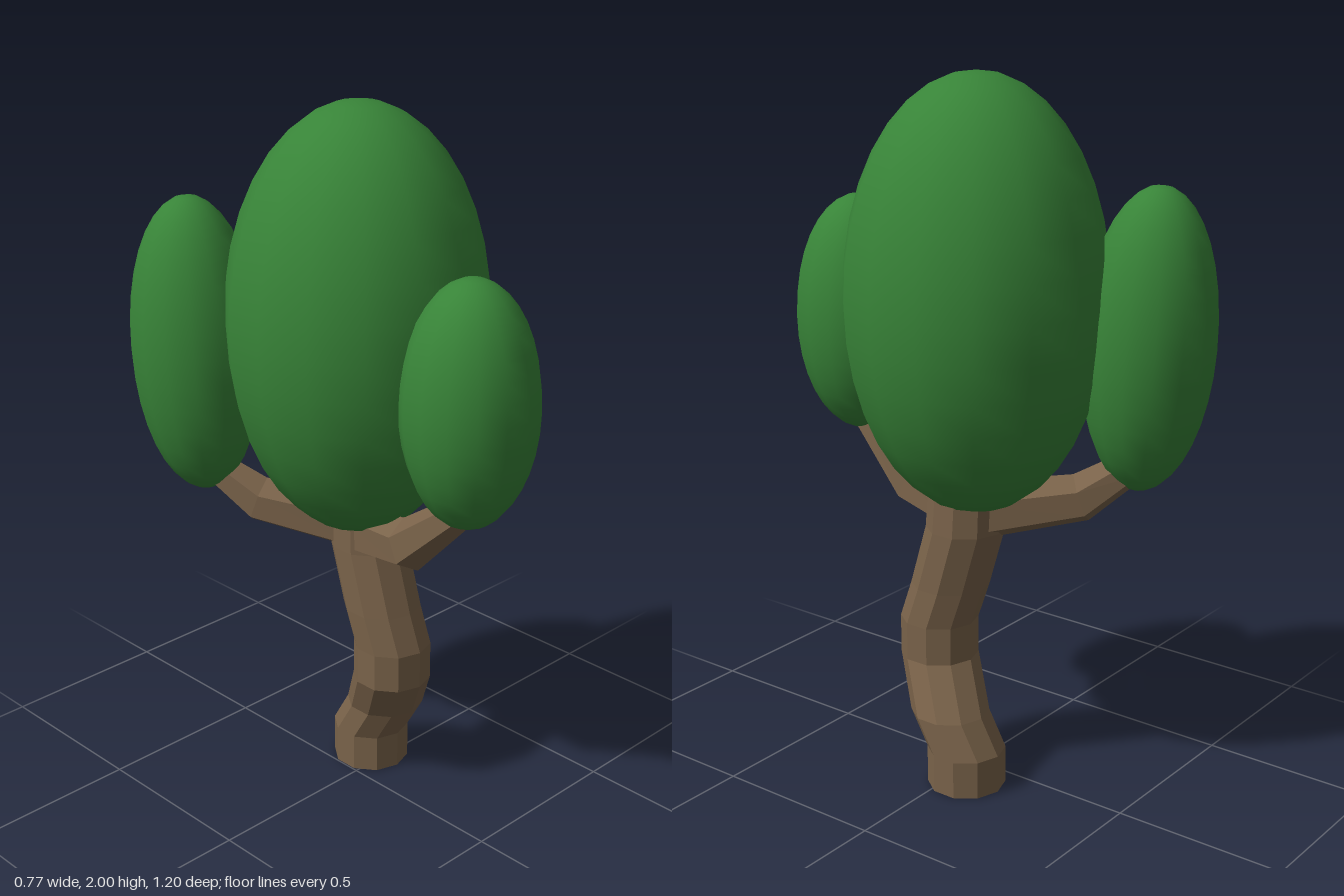
import * as THREE from 'three';

const bark = new THREE.MeshStandardMaterial({ color: 0x7a634a, flatShading: true });
const leaf = new THREE.MeshStandardMaterial({ color: 0x388438 });

// Faceted limb through stations [x, y, z, radius]; level keeps its rings horizontal
function limb(name, stations, sides, level) {
  const pts = stations.map(([x, y, z]) => new THREE.Vector3(x, y, z));
  const last = pts.length - 1;
  const pos = [], index = [];
  pts.forEach((p, i) => {
    const dir = new THREE.Vector3(0, 1, 0);
    if (!level) dir.subVectors(pts[Math.min(i + 1, last)], pts[Math.max(i - 1, 0)]).normalize();
    const side = level ? new THREE.Vector3(1, 0, 0) : new THREE.Vector3(0, 1, 0).cross(dir).normalize();
    const up = new THREE.Vector3().crossVectors(dir, side);
    for (let k = 0; k < sides; k++) {
      const a = ((k + 0.5) / sides) * Math.PI * 2, r = stations[i][3];
      const v = p.clone().addScaledVector(side, r * Math.cos(a)).addScaledVector(up, r * Math.sin(a));
      pos.push(v.x, v.y, v.z);
    }
  });
  for (let i = 0; i < last; i++) {
    for (let k = 0; k < sides; k++) {
      const a = i * sides + k, b = i * sides + (k + 1) % sides;
      index.push(a, b, b + sides, a, b + sides, a + sides);
    }
  }
  // End caps
  const top = last * sides;
  for (let k = 1; k < sides - 1; k++) index.push(0, k + 1, k, top, top + k, top + k + 1);
  const geo = new THREE.BufferGeometry();
  geo.setAttribute('position', new THREE.Float32BufferAttribute(pos, 3));
  geo.setIndex(index);
  geo.computeVertexNormals();
  const mesh = new THREE.Mesh(geo, bark);
  mesh.name = name;
  return mesh;
}

// Smooth egg-shaped clump of leaves
function crown(name, center, radius, height, tilt = 0) {
  const mesh = new THREE.Mesh(new THREE.SphereGeometry(1, 15, 18), leaf);
  mesh.name = name;
  mesh.position.set(...center);
  mesh.scale.set(radius, height, radius);
  mesh.rotation.x = tilt;
  return mesh;
}

export function createModel() {
  const tree = new THREE.Group();
  tree.name = 'tree';

  // Crooked trunk, ending inside the main crown
  tree.add(limb('trunk', [
    [0.11, 0, -0.048, 0.111],
    [0.11, 0.11, -0.048, 0.111],
    [0.11, 0.21, 0.01, 0.111],
    [0.055, 0.35, 0.09, 0.111],
    [0.055, 0.46, 0.09, 0.111],
    [0.05, 0.57, 0.054, 0.111],
    [0.05, 0.75, 0, 0.111],
    [0.05, 0.95, -0.01, 0.105],
  ], 10, true));

  // Bent branches carrying the small crowns
  tree.add(limb('frontBranch', [
    [0.03, 0.80, 0, 0.085],
    [0, 0.825, 0.21, 0.075],
    [-0.005, 0.99, 0.40, 0.045],
  ], 6, false));
  tree.add(limb('backBranch', [
    [0.04, 0.80, -0.03, 0.085],
    [-0.12, 0.845, -0.27, 0.07],
    [-0.2, 0.95, -0.40, 0.045],
  ], 6, false));

  // Foliage
  tree.add(crown('mainCrown', [0.027, 1.4, -0.02], 0.363, 0.6));
  tree.add(crown('frontCrown', [-0.003, 1.29, 0.415], 0.185, 0.34));
  tree.add(crown('backCrown', [-0.208, 1.293, -0.42], 0.184, 0.422, -0.06));
  return tree;
}
